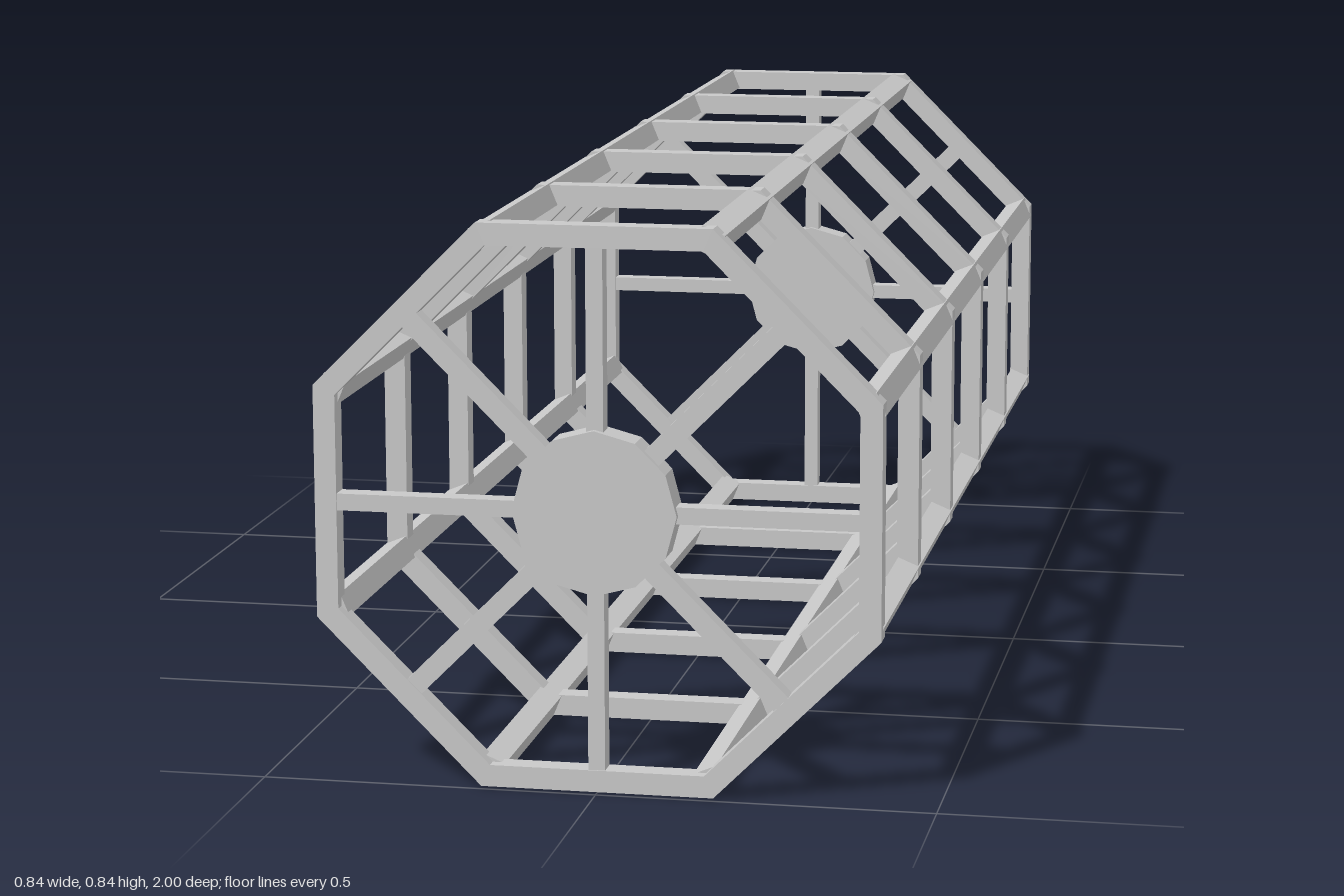
import * as THREE from 'three';

const CENTER_Y = 0.4175, APOTHEM = 0.417, RAIL = 0.0325, DEPTH = 0.035;
const END_Z = 0.975, RINGS = 6;

// Regular octagon with flat sides at top, bottom, left and right
function octagon(apothem, PathType) {
  const r = apothem / Math.cos(Math.PI / 8);
  const points = [];
  for (let i = 0; i < 8; i++) {
    const a = (i + 0.5) * Math.PI / 4;
    points.push(new THREE.Vector2(r * Math.cos(a), r * Math.sin(a)));
  }
  return new PathType(points);
}

// Radial bar from inside the hub to just inside the ring
function spoke(width) {
  const inner = 0.1, outer = APOTHEM - RAIL + 0.005;
  return new THREE.BoxGeometry(outer - inner, width, 0.03).translate((inner + outer) / 2, 0, 0);
}

export function createModel() {
  const steel = new THREE.MeshStandardMaterial({ color: 0xc8c8c8 });
  steel.name = 'light grey steel';
  const model = new THREE.Group();
  model.name = 'octagonalTruss';
  const frame = new THREE.Group();
  frame.name = 'frame';
  frame.position.y = CENTER_Y;
  model.add(frame);

  const add = (parent, name, geometry) => {
    const mesh = new THREE.Mesh(geometry, steel);
    mesh.name = name;
    parent.add(mesh);
    return mesh;
  };

  // Six evenly spaced octagonal rings
  const ringShape = octagon(APOTHEM, THREE.Shape);
  ringShape.holes.push(octagon(APOTHEM - RAIL, THREE.Path));
  const ringGeometry = new THREE.ExtrudeGeometry(ringShape, { depth: DEPTH, bevelEnabled: false });
  ringGeometry.translate(0, 0, -DEPTH / 2);
  for (let i = 0; i < RINGS; i++) {
    add(frame, 'ring', ringGeometry).position.z = END_Z * (1 - 2 * i / (RINGS - 1));
  }

  // Long beams running through the corners, ending inside the end rings
  const beamGeometry = new THREE.BoxGeometry(0.035, 0.036, 2 * END_Z);
  for (let i = 0; i < 8; i++) {
    const a = (i + 0.5) * Math.PI / 4;
    const beam = add(frame, 'cornerBeam', beamGeometry);
    beam.position.set(0.4285 * Math.cos(a), 0.4285 * Math.sin(a), 0);
    beam.rotation.z = a;
  }

  // Spoked wheel with a twelve-sided hub at each end
  const hubGeometry = new THREE.CylinderGeometry(0.1215, 0.1215, 0.05, 12).toNonIndexed();
  hubGeometry.rotateX(Math.PI / 2);
  hubGeometry.computeVertexNormals();
  const straightSpoke = spoke(0.025), diagonalSpoke = spoke(0.03);
  for (const [side, name] of [[1, 'frontWheel'], [-1, 'backWheel']]) {
    const wheel = new THREE.Group();
    wheel.name = name;
    wheel.position.z = side * END_Z;
    frame.add(wheel);
    add(wheel, 'hub', hubGeometry);
    for (let i = 0; i < 8; i++) {
      const diagonal = i % 2 === 1;
      add(wheel, diagonal ? 'diagonalSpoke' : 'straightSpoke', diagonal ? diagonalSpoke : straightSpoke)
        .rotation.z = i * Math.PI / 4;
    }
  }
  return model;
}
